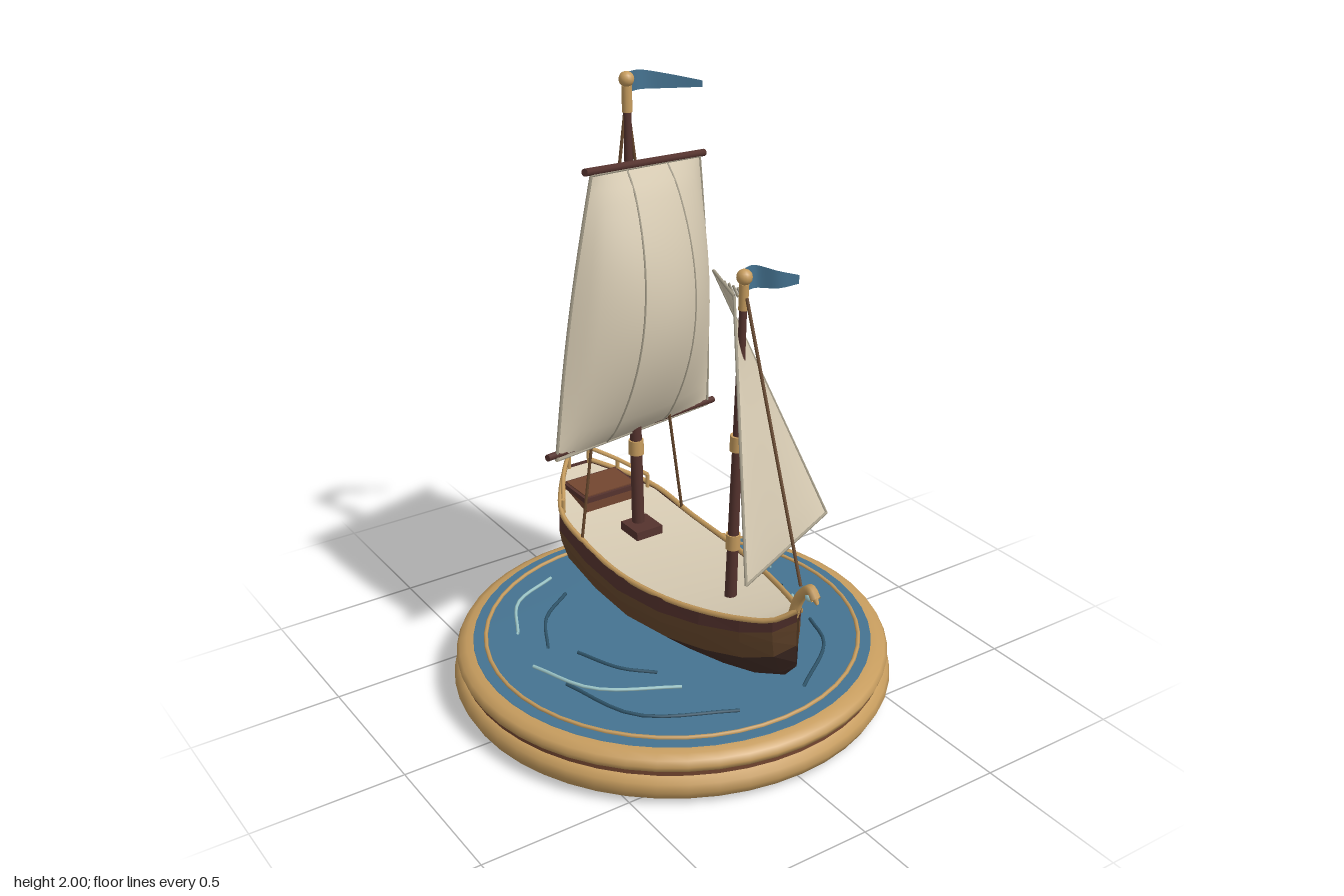
import * as THREE from 'three';

const mat = (name, color) => {
  const m = new THREE.MeshStandardMaterial({ color, side: THREE.DoubleSide });
  m.name = name;
  return m;
};
const V = (x, y, z) => new THREE.Vector3(x, y, z);

export function createModel() {
  const model = new THREE.Group();
  const gold = mat('gold trim', 0xc69c5e), water = mat('sea blue', 0x457391), deep = mat('deep blue', 0x2f5469);
  const foam = mat('pale foam', 0x9cc6c8), canvas = mat('canvas', 0xd6cab2), hem = mat('hem', 0xa69e8a);
  const dark = mat('dark wood', 0x422c26), plank = mat('plank brown', 0x68482d);
  const maroon = mat('red brown', 0x55332e), chest = mat('chest brown', 0x734630);

  const add = (name, geo, material, parent = model) => {
    const m = new THREE.Mesh(geo, material);
    m.name = name;
    parent.add(m);
    return m;
  };
  const group = (name) => {
    const g = new THREE.Group();
    g.name = name;
    model.add(g);
    return g;
  };
  // Skin between rows of points
  const loft = (rows, flat = false) => {
    const n = rows[0].length, idx = [];
    for (let i = 0; i < rows.length - 1; i++) for (let j = 0; j < n - 1; j++) {
      const a = i * n + j, b = a + n;
      idx.push(a, a + 1, b + 1, a, b + 1, b);
    }
    let g = new THREE.BufferGeometry().setFromPoints(rows.flat());
    g.setIndex(idx);
    if (flat) g = g.toNonIndexed();
    g.computeVertexNormals();
    return g;
  };
  const rod = (name, a, b, r0, r1, material, parent, sides = 10) => {
    const m = add(name, new THREE.CylinderGeometry(r1, r0, a.distanceTo(b), sides), material, parent);
    m.position.lerpVectors(a, b, 0.5);
    m.quaternion.setFromUnitVectors(V(0, 1, 0), b.clone().sub(a).normalize());
    return m;
  };
  const tube = (name, pts, r, material, parent, seg = 24) =>
    add(name, new THREE.TubeGeometry(new THREE.CatmullRomCurve3(pts), seg, r, 6), material, parent);
  const box = (name, size, pos, material, parent) => {
    const m = add(name, new THREE.BoxGeometry(...size), material, parent);
    m.position.set(...pos);
    return m;
  };

  // Round stand with two rounded mouldings and a water disc
  const stand = group('stand');
  stand.position.z = -0.013;
  const lathe = (name, pts, material) =>
    add(name, new THREE.LatheGeometry(pts.map(p => new THREE.Vector2(...p)), 48), material, stand);
  lathe('lowerMoulding', [[0.66, 0.004], [0.69, 0.007], [0.715, 0.022], [0.729, 0.05], [0.724, 0.078], [0.705, 0.096], [0.68, 0.1]], gold);
  lathe('groove', [[0.703, 0.09], [0.703, 0.12]], chest);
  lathe('upperMoulding', [[0.69, 0.11], [0.712, 0.117], [0.718, 0.135], [0.708, 0.153], [0.685, 0.165], [0.66, 0.168]], gold);
  lathe('standUnderside', [[0, 0], [0.655, 0], [0.665, 0.005]], plank);
  lathe('waterDisc', [[0.666, 0.16], [0.66, 0.171], [0, 0.174]], water);
  const ring = add('waterRing', new THREE.TorusGeometry(0.62, 0.007, 6, 48), gold, stand);
  ring.rotation.x = Math.PI / 2;
  ring.position.y = 0.173;

  // Ripples as curved strands on the water: material, then x, z pairs
  const ripples = group('ripples');
  const strands = [
    [foam, 0.18, -0.5, 0.39, -0.4, 0.51, -0.14], [foam, 0.45, 0.06, 0.36, 0.21, 0.18, 0.3],
    [foam, -0.51, -0.05, -0.42, 0.17, -0.18, 0.31], [foam, -0.45, -0.26, -0.36, -0.42, -0.18, -0.51],
    [deep, 0.18, -0.41, 0.37, -0.27, 0.46, -0.01], [deep, 0.3, 0.04, 0.25, 0.14, 0.18, 0.2],
    [deep, 0.41, 0.21, 0.35, 0.36, 0.15, 0.51], [deep, -0.47, 0.09, -0.38, 0.36, -0.1, 0.51],
    [deep, -0.35, -0.04, -0.29, 0.12, -0.2, 0.2], [deep, -0.41, -0.13, -0.33, -0.28, -0.19, -0.39],
    [deep, 0.2, -0.34, 0.31, -0.24, 0.37, -0.1],
  ];
  strands.forEach(([m, ax, az, bx, bz, cx, cz], i) => {
    const y = 0.178 + (i % 3) * 0.004;
    tube('ripple', [V(ax, y, az), V(bx, y + 0.006, bz), V(cx, y, cz)], 0.006, m, ripples, 10);
  });

  // Hull stations: z, half width, keel height, sheer height
  const stations = [
    [-0.61, 0.05, 0.245, 0.54], [-0.52, 0.125, 0.215, 0.515], [-0.4, 0.195, 0.2, 0.485], [-0.2, 0.212, 0.19, 0.457],
    [0, 0.215, 0.19, 0.45], [0.2, 0.19, 0.21, 0.46], [0.36, 0.15, 0.24, 0.479], [0.5, 0.1, 0.275, 0.505],
    [0.6, 0.052, 0.325, 0.535], [0.654, 0.004, 0.385, 0.58],
  ];
  const hull = group('hull');
  const section = [[0, 0], [0.07, 0.38], [0.38, 0.86], [0.64, 0.99], [0.8, 1.03], [1, 1.01]];
  const at = ([z, w, k, s], [f, h], side) => V(side * w * h, k + (s - k) * f, z);
  [['bottomPlanking', 0, 2, dark], ['sidePlanking', 2, 4, plank], ['upperStrake', 4, 5, maroon]].forEach(([name, from, to, m]) => {
    for (const side of [1, -1]) {
      const rows = stations.map(s => section.slice(from, to + 1).map(p => at(s, p, side)));
      add(name, loft(side > 0 ? rows : rows.reverse(), true), m, hull);
    }
    // Narrow transom in matching bands
    const end = [-1, 1].map(side => section.slice(from, to + 1).map(p => at(stations[0], p, side)));
    add(name + 'Stern', loft(end, true), m, hull);
  });
  add('deck', loft(stations.map(([z, w, , s]) => [V(w * 0.96, s - 0.012, z), V(-w * 0.96, s - 0.012, z)]).reverse()), canvas, hull);
  for (const side of [1, -1]) {
    tube('gunwale', stations.map(([z, w, , s]) => V(side * w * 0.965, s, z)), 0.009, gold, hull, 36);
    // Stern railing
    const rail = [V(side * 0.17, 0.525, -0.42), V(side * 0.11, 0.56, -0.52), V(side * 0.04, 0.593, -0.6)];
    tube('sternRail', rail, 0.008, gold, hull, 10);
    rail.forEach(p => rod('railPost', V(p.x, p.y - 0.06, p.z), p, 0.007, 0.007, gold, hull, 8));
  }
  box('sternPost', [0.03, 0.2, 0.012], [0, 0.42, -0.61], dark, hull);

  // Curved bow ornament with a pale bead under the beak
  const bow = group('bowOrnament');
  tube('ornamentNeck', [V(0, 0.55, 0.63), V(0, 0.61, 0.65), V(0, 0.655, 0.68), V(0, 0.676, 0.708), V(0, 0.655, 0.732)], 0.017, gold, bow);
  rod('ornamentBeak', V(0, 0.672, 0.715), V(0, 0.642, 0.74), 0.016, 0.005, gold, bow);
  add('ornamentBead', new THREE.SphereGeometry(0.015, 10, 8), foam, bow).position.set(0, 0.65, 0.704);

  // Deck chest with an inset lid, and the mast step
  const cargo = group('deckChest');
  box('chestBody', [0.2, 0.04, 0.14], [0, 0.49, -0.455], chest, cargo);
  box('chestRim', [0.215, 0.018, 0.154], [0, 0.517, -0.455], maroon, cargo);
  box('chestLid', [0.195, 0.008, 0.134], [0, 0.526, -0.455], chest, cargo);
  box('mastStep', [0.1, 0.03, 0.1], [0, 0.47, -0.195], maroon, model);

  // Masts with gold collars, cap and ball
  const mast = (name, a, b, r, collars) => {
    const g = group(name);
    const on = y => a.clone().lerp(b, (y - a.y) / (b.y - a.y));
    rod('pole', a, b, r, r * 0.55, maroon, g);
    collars.forEach(y => rod('collar', on(y - 0.025), on(y + 0.025), r * 1.2, r * 1.15, gold, g));
    rod('cap', on(b.y - 0.1), on(b.y - 0.02), r * 0.75, r * 0.75, gold, g);
    add('ball', new THREE.SphereGeometry(0.024, 14, 10), gold, g).position.copy(b);
  };
  mast('mainMast', V(0, 0.44, -0.215), V(0, 1.975, -0.257), 0.022, [0.76, 1.3]);
  mast('foreMast', V(0, 0.45, 0.315), V(0, 1.53, 0.357), 0.02, [0.66, 1.0]);

  // Yards carrying the square sail
  rod('upperYard', V(-0.235, 1.757, -0.12), V(0.34, 1.675, -0.335), 0.012, 0.012, maroon, model);
  rod('lowerYard', V(-0.39, 0.866, -0.125), V(0.387, 0.79, -0.337), 0.011, 0.011, maroon, model);

  // Sails: bilinear corner patch with a forward belly and bowed sides, hems and seams
  const sail = (name, tl, tr, bl, br, belly, bow, seams) => {
    const g = group(name);
    const arch = (t, power) => Math.pow(Math.max(0, Math.sin(Math.PI * t)), power);
    const surf = (u, v) => {
      const p = tl.clone().lerp(tr, u).lerp(bl.clone().lerp(br, u), v);
      p.x += (u * 2 - 1) * bow * arch(v, 1);
      return p.addScaledVector(belly, arch(u, 0.7) * arch(v, 0.75));
    };
    const line = f => Array.from({ length: 21 }, (_, i) => f(i / 20));
    add('cloth', loft(line(u => line(v => surf(u, v))).reverse()), canvas, g);
    [u => surf(u, 0), u => surf(u, 1), v => surf(0, v), v => surf(1, v)]
      .forEach(f => tube('hem', line(f), 0.005, hem, g));
    seams.forEach(u => tube('seam', line(v => surf(u, v)), 0.0035, hem, g));
    return g;
  };
  sail('mainSail', V(-0.21, 1.742, -0.125), V(0.313, 1.672, -0.32), V(-0.355, 0.845, -0.13), V(0.355, 0.785, -0.325),
    V(0.02, 0, 0.165), 0.014, [0.31, 0.68]);
  const jib = sail('foreSail', V(-0.012, 1.465, 0.325), V(0.03, 1.485, 0.163), V(-0.15, 0.685, 0.595), V(0.285, 0.715, 0.42),
    V(0.01, 0, 0.025), 0, []);
  for (let i = 0; i < 4; i++) {
    const z = 0.25 + i * 0.022;
    rod('lacing', V(0.025, 1.445, z), V(0.012, 1.48, z - 0.008), 0.004, 0.004, hem, jib, 6);
  }

  // Standing rigging
  const rigging = group('rigging');
  for (const side of [1, -1])
    rod('shroud', V(side * 0.2, 0.46, -0.25), V(side * 0.006, 1.88, -0.258), 0.005, 0.005, plank, rigging, 6);
  rod('foreStay', V(0, 0.665, 0.66), V(0, 1.47, 0.37), 0.005, 0.005, plank, rigging, 6);

  // Waving pennants, two thin faces each: x, z, top, bottom
  const pennant = (name, pts) => {
    const g = group(name);
    const [low, high] = [3, 2].map(k => new THREE.CatmullRomCurve3(pts.map(p => V(p[0], p[k], p[1]))).getPoints(16));
    const rows = low.map((p, i) => [p, high[i]]);
    add('frontFace', loft(rows.map(r => r.map(p => p.clone().add(V(0, 0, 0.004)))).reverse()), water, g);
    add('backFace', loft(rows), water, g);
  };
  pennant('mainPennant', [[0.01, -0.258, 1.997, 1.935], [0.08, -0.298, 1.985, 1.926], [0.16, -0.272, 1.967, 1.923], [0.25, -0.22, 1.945, 1.925]]);
  pennant('forePennant', [[0.01, 0.345, 1.552, 1.48], [0.06, 0.325, 1.545, 1.476], [0.11, 0.37, 1.53, 1.478], [0.167, 0.392, 1.513, 1.487]]);
  return model;
}
